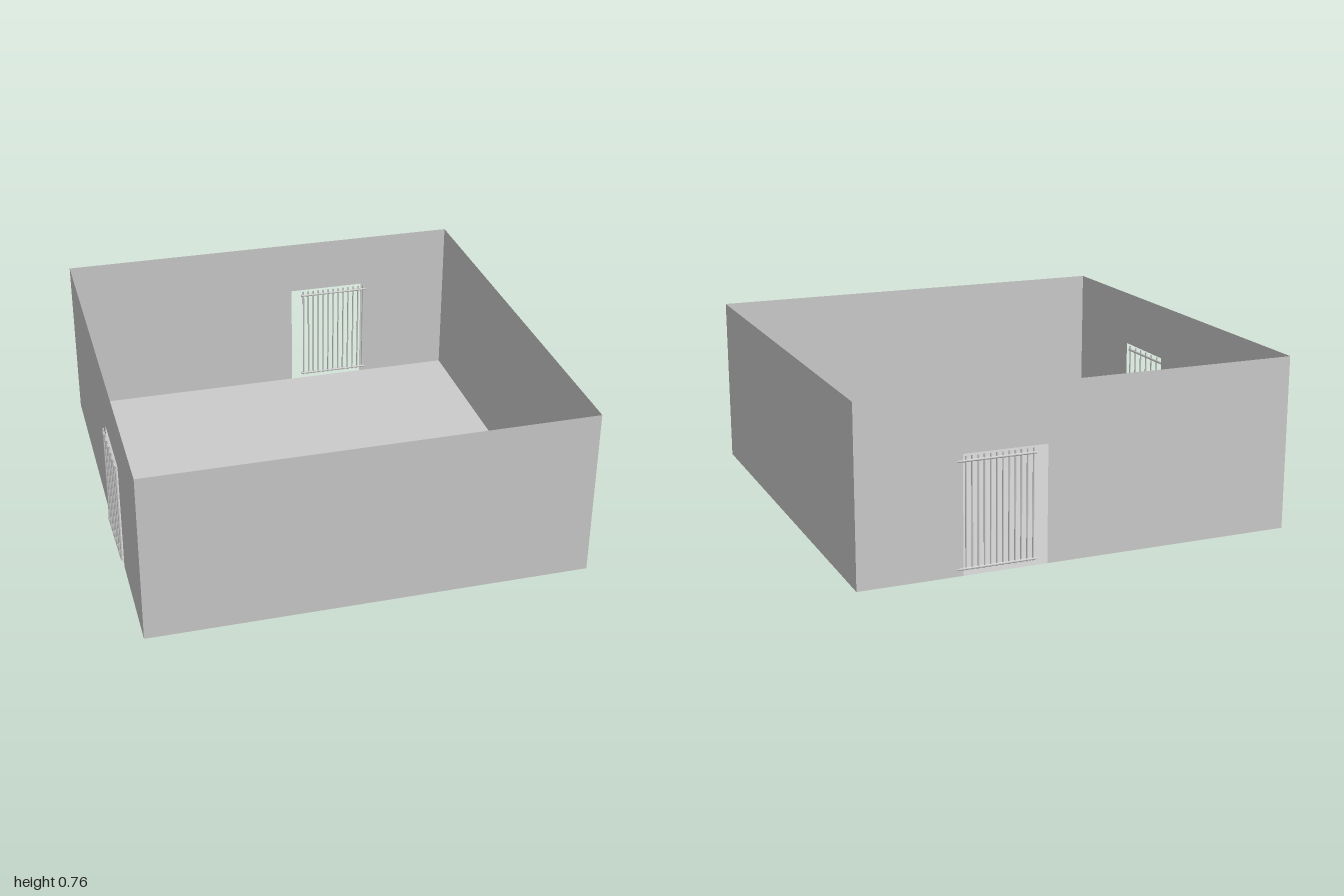
import * as THREE from 'three';

const grey = new THREE.MeshStandardMaterial({ color: 0xcccccc, side: THREE.DoubleSide });
const HEIGHT = 0.76;

// Floor corners as [x, z]; the plan is very slightly skewed
const backRight = [-0.96, -0.99], backLeft = [0.96, -1];
const frontLeft = [0.97, 0.985], frontRight = [-0.955, 1];

// Moves a group whose local +x runs along the line from a to b
function alignTo(object, a, b) {
  object.position.set(a[0], 0, a[1]);
  object.rotation.y = -Math.atan2(b[1] - a[1], b[0] - a[0]);
  return object;
}

// Thin upright wall from a to b, with an optional doorway down to the floor
function makeWall(name, a, b, door) {
  const length = Math.hypot(b[0] - a[0], b[1] - a[1]);
  const shape = new THREE.Shape();
  shape.moveTo(0, 0);
  if (door) {
    shape.lineTo(door.from, 0);
    shape.lineTo(door.from, door.top);
    shape.lineTo(door.to, door.top);
    shape.lineTo(door.to, 0);
  }
  shape.lineTo(length, 0);
  shape.lineTo(length, HEIGHT);
  shape.lineTo(0, HEIGHT);
  shape.closePath();
  const wall = new THREE.Mesh(new THREE.ShapeGeometry(shape), grey);
  wall.name = name;
  return alignTo(wall, a, b);
}

// Barred gate: two round rails joined by evenly spaced upright bars
function makeGate(name, a, b, barCount) {
  const gate = new THREE.Group();
  gate.name = name;
  const length = Math.hypot(b[0] - a[0], b[1] - a[1]);
  const railGeometry = new THREE.CylinderGeometry(0.006, 0.006, length, 8).rotateZ(Math.PI / 2);
  for (const y of [0.028, 0.475]) {
    const rail = new THREE.Mesh(railGeometry, grey);
    rail.name = y < 0.2 ? 'bottomRail' : 'topRail';
    rail.position.set(length / 2, y, 0);
    gate.add(rail);
  }
  const barGeometry = new THREE.CylinderGeometry(0.004, 0.004, 0.475, 8);
  for (let i = 0; i < barCount; i++) {
    const bar = new THREE.Mesh(barGeometry, grey);
    bar.name = 'bar';
    bar.position.set(0.012 + (length - 0.024) * i / (barCount - 1), 0.258, 0);
    gate.add(bar);
  }
  return alignTo(gate, a, b);
}

export function createModel() {
  const model = new THREE.Group();
  model.name = 'walledYard';

  // Floor
  const plan = new THREE.Shape(
    [backRight, backLeft, frontLeft, frontRight].map(([x, z]) => new THREE.Vector2(x, -z)));
  const floor = new THREE.Mesh(new THREE.ShapeGeometry(plan).rotateX(-Math.PI / 2), grey);
  floor.name = 'floor';
  model.add(floor);

  // Walls, with doorways at the back and on the right
  model.add(
    makeWall('frontWall', frontRight, frontLeft),
    makeWall('leftWall', frontLeft, backLeft),
    makeWall('backWall', backRight, backLeft, { from: 1.11, to: 1.475, top: 0.505 }),
    makeWall('rightWall', backRight, frontRight, { from: 1.11, to: 1.47, top: 0.505 }));

  // Gates
  model.add(
    makeGate('backGate', [0.2, -0.993], [0.54, -0.994], 13),
    makeGate('rightGate', [-0.969, 0.12], [-0.962, 0.465], 7));
  return model;
}
